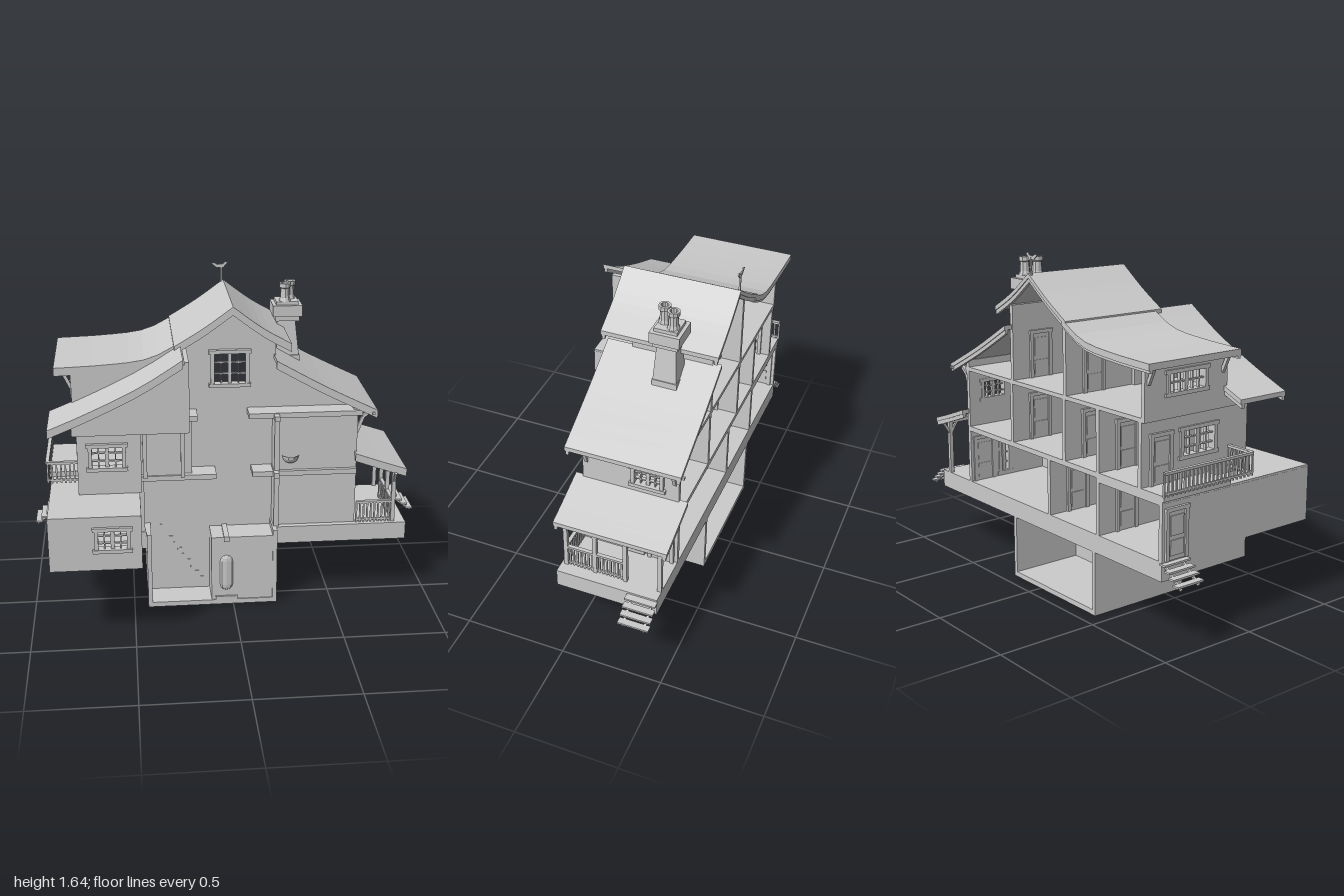
import * as THREE from 'three';

const mat = new THREE.MeshStandardMaterial({ color: 0xcccccc, flatShading: true, side: THREE.DoubleSide });
let root;

function add(name, geo, x = 0, y = 0, z = 0, parent = root) {
  const m = new THREE.Mesh(geo, mat);
  m.name = name;
  m.position.set(x, y, z);
  parent.add(m);
  return m;
}
// box given by its limits
const block = (name, x0, x1, y0, y1, z0, z1, parent) =>
  add(name, new THREE.BoxGeometry(x1 - x0, y1 - y0, z1 - z0), (x0 + x1) / 2, (y0 + y1) / 2, (z0 + z1) / 2, parent);

// straight bar between two points
function bar(name, a, b, w, h = w) {
  const p = new THREE.Vector3(...a), q = new THREE.Vector3(...b);
  const m = add(name, new THREE.BoxGeometry(w, h, p.distanceTo(q)));
  m.position.copy(p).lerp(q, 0.5);
  m.lookAt(q);
}
const rect = (x0, x1, y0, y1) => [[x0, y0], [x1, y0], [x1, y1], [x0, y1]];
const toPts = (a) => a.map(([x, y]) => new THREE.Vector2(x, y));

// flat wall with openings
function panel(pts, holes, depth) {
  const s = new THREE.Shape(toPts(pts));
  holes.forEach((h) => s.holes.push(new THREE.Path(toPts(rect(...h)))));
  return new THREE.ExtrudeGeometry(s, { depth, bevelEnabled: false });
}
const T = 0.022;
const frontWall = (name, z, pts, holes = []) => add(name, panel(pts, holes, T), 0, 0, z - T);
// side walls are drawn in (z, y)
function sideWall(name, x, pts, holes = []) {
  const m = add(name, panel(pts, holes, T), x + T / 2, 0, 0);
  m.rotation.y = -Math.PI / 2;
}

// frame and glazing bars, built in the xy plane
function windowFrame(name, w, h, cols, rows, pos, sideways = false) {
  const g = new THREE.Group();
  g.name = name;
  const f = 0.018;
  for (const s of [-1, 1]) {
    block('jamb', s * w / 2 - f / 2, s * w / 2 + f / 2, -h / 2, h / 2, -0.02, 0.02, g);
    block('sill', -w / 2 - f, w / 2 + f, s * h / 2 - f / 2, s * h / 2 + f / 2, -0.02, 0.024, g);
  }
  for (let i = 1; i < cols; i++) {
    const x = -w / 2 + w * i / cols, b = i * 2 === cols ? 0.009 : 0.003;
    block('mullion', x - b, x + b, -h / 2, h / 2, -0.008, 0.008, g);
  }
  for (let i = 1; i < rows; i++) {
    const y = -h / 2 + h * i / rows;
    block('glazingBar', -w / 2, w / 2, y - 0.003, y + 0.003, -0.008, 0.008, g);
  }
  g.position.set(...pos);
  if (sideways) g.rotation.y = Math.PI / 2;
  root.add(g);
}

// panelled door standing on a side wall
function door(x, y, z, w = 0.11, h = 0.22) {
  const g = new THREE.Group();
  g.name = 'door';
  for (const s of [-1, 1]) block('doorPost', -0.022, 0.022, 0, h, s * w / 2 - 0.009, s * w / 2 + 0.009, g);
  block('doorHead', -0.024, 0.024, h, h + 0.018, -w / 2 - 0.012, w / 2 + 0.012, g);
  block('doorLeaf', -0.015, 0.015, 0, h, -w / 2, w / 2, g);
  for (const [a, b] of [[0.02, 0.09], [0.11, 0.2]]) block('doorPanel', -0.019, 0.019, a, b, -w * 0.34, w * 0.34, g);
  g.position.set(x, y, z);
  root.add(g);
}

// curved roof sheet with trim boards along both ends
function roof(name, pts, z0, z1, t = 0.022) {
  const curve = new THREE.SplineCurve(toPts(pts)).getPoints(8).map((p) => [p.x, p.y]);
  const under = curve.map(([x, y]) => [x, y - t]).reverse();
  add(name, panel([...curve, ...under], [], z1 - z0), 0, 0, z0);
  const low = [...curve.map(([x, y]) => [x, y - 0.006]), ...curve.map(([x, y]) => [x, y - 0.042]).reverse()];
  for (const z of [z0 + 0.005, z1 - 0.021]) add('bargeBoard', panel(low, [], 0.016), 0, 0, z);
}

function railing(a, b, y0, h, n) {
  const at = (k, y) => [a[0] + (b[0] - a[0]) * k, y, a[1] + (b[1] - a[1]) * k];
  bar('handRail', at(0, y0 + h), at(1, y0 + h), 0.018, 0.012);
  bar('footRail', at(0, y0 + 0.015), at(1, y0 + 0.015), 0.01);
  for (let i = 0; i <= n; i++) bar('baluster', at(i / n, y0), at(i / n, y0 + h), 0.008);
}

function flight(name, x0, x1, y0, y1, z0, z1, n) {
  for (let i = 0; i < n; i++) {
    const xa = x0 + (x1 - x0) * i / n, xb = x0 + (x1 - x0) * (i + 1) / n, y = y0 + (y1 - y0) * (i + 1) / n;
    block(name, Math.min(xa, xb), Math.max(xa, xb), y - (y1 - y0) / n, y, z0, z1);
  }
}

export function createModel() {
  root = new THREE.Group();
  root.name = 'cutawayHouse';
  const B = -0.43; // open back
  const F = -0.04; // recessed central front wall

  // basement
  block('basementFloor', -0.43, 0.22, 0, 0.025, B, 0.11);
  sideWall('basementWall', -0.42, rect(B, 0.11, 0, 0.4));
  sideWall('basementWall', 0.21, rect(B, 0.11, 0, 0.4));
  frontWall('basementFront', F, rect(-0.42, -0.1, 0.02, 0.33));
  block('cellarRoom', -0.11, 0.2, 0.02, 0.37, F - T, 0.105);
  add('cellarHatch', new THREE.CapsuleGeometry(0.032, 0.13, 3, 8).scale(1, 1, 0.4), -0.035, 0.175, 0.105);
  block('cellarStep', -0.09, 0.02, 0.02, 0.045, 0.1, 0.115);
  flight('cellarStair', -0.12, -0.36, 0.02, 0.39, -0.15, F + 0.003, 11);
  for (const x of [-0.36, -0.24]) bar('stairPost', [x, 0.02, -0.16], [x, 0.31, -0.16], 0.014);

  // floors, stepped back in the middle
  block('groundSlab', -0.42, 0.21, 0.31, 0.4, B, F);
  block('leftSlab', -0.89, -0.42, 0.31, 0.4, B, 0.07);
  block('rightSlab', 0.21, 0.88, 0.31, 0.4, B, 0.07);
  block('garageFloor', -0.89, -0.46, 0.4, 0.415, 0.05, 0.465);
  block('middleFloor', -0.9, 0.62, 0.67, 0.695, B, F);
  block('garageRoof', -0.89, -0.46, 0.65, 0.67, B, 0.465);
  block('bayFloor', -0.75, -0.45, 0.67, 0.69, F, 0.2);
  block('upperFloor', -0.77, 0.63, 0.985, 1.005, B, F);
  block('wingFloor', -0.77, -0.22, 0.985, 1.005, F, 0.25);
  block('rightCeiling', 0.21, 0.62, 0.965, 0.985, F, 0.04);

  // front walls
  frontWall('gableWall', F, [[-0.46, 0.4], [0.22, 0.4], [0.22, 1.38], [0, 1.52], [-0.21, 1.39], [-0.21, 0.68], [-0.46, 0.68]],
    [[-0.085, 0.075, 1.13, 1.29]]);
  windowFrame('gableWindow', 0.17, 0.17, 4, 3, [-0.005, 1.21, F]);
  frontWall('rightFrontWall', 0.04, rect(0.21, 0.62, 0.4, 0.985));
  frontWall('rightAtticWall', F, [[0.21, 0.98], [0.62, 0.98], [0.62, 1.03], [0.21, 1.25]]);
  frontWall('leftFrontWall', 0.04, rect(-0.46, -0.2, 0.68, 1));
  frontWall('bayWall', 0.2, rect(-0.75, -0.46, 0.67, 0.99), [[-0.685, -0.535, 0.805, 0.915]]);
  windowFrame('bayWindow', 0.16, 0.12, 4, 3, [-0.61, 0.86, 0.195]);
  frontWall('garageWall', 0.47, rect(-0.89, -0.46, 0.4, 0.67), [[-0.665, -0.525, 0.505, 0.605]]);
  windowFrame('garageWindow', 0.15, 0.11, 4, 3, [-0.595, 0.555, 0.462]);
  frontWall('wingWall', 0.25, [[-0.77, 0.99], [-0.22, 0.99], [-0.22, 1.33], [-0.5, 1.18], [-0.77, 1.05]]);
  block('wingVent', -0.465, -0.435, 1.2, 1.225, 0.24, 0.265);
  frontWall('dormerCheek', 0.05, [[-0.77, 1.05], [-0.22, 1.31], [-0.4, 1.28], [-0.77, 1.25]]);

  // alcove between the bay and the central wall
  block('alcove', -0.425, -0.25, 0.7, 0.955, 0.02, 0.065);
  for (const x of [-0.43, -0.245]) block('alcovePost', x - 0.01, x + 0.01, 0.69, 0.96, 0.03, 0.08);
  block('alcoveHead', -0.44, -0.235, 0.95, 0.97, 0.03, 0.08);

  // outer side walls
  sideWall('garageSide', -0.88, rect(B, 0.47, 0.4, 0.66));
  sideWall('garageInnerSide', -0.47, rect(F, 0.47, 0.4, 0.66));
  sideWall('baySide', -0.74, rect(B, 0.2, 0.68, 0.99), [[-0.2, 0, 0.79, 0.92]]);
  windowFrame('baySideWindow', 0.2, 0.13, 4, 3, [-0.74, 0.855, -0.1], true);
  sideWall('bayInnerSide', -0.46, rect(F, 0.2, 0.68, 0.99));
  sideWall('alcoveSide', -0.21, rect(F, 0.04, 0.68, 0.99));
  sideWall('wingSide', -0.76, rect(0.03, 0.25, 0.99, 1.06));
  sideWall('wingInnerSide', -0.23, rect(F, 0.25, 0.99, 1.33));
  sideWall('dormerSide', -0.76, rect(B, 0.05, 0.99, 1.25), [[-0.3, -0.08, 1.09, 1.19]]);
  windowFrame('dormerWindow', 0.22, 0.1, 6, 2, [-0.76, 1.14, -0.19], true);
  sideWall('rightInnerSide', 0.22, rect(F, 0.04, 0.4, 0.985));
  sideWall('rightSideWall', 0.61, rect(B, 0.04, 0.4, 1.04), [[-0.25, -0.195, 0.42, 0.62], [-0.35, -0.21, 0.83, 0.92]]);
  windowFrame('upperRightWindow', 0.14, 0.1, 4, 3, [0.615, 0.875, -0.28], true);
  windowFrame('porchWindow', 0.06, 0.21, 2, 4, [0.615, 0.52, -0.222], true);
  door(0.615, 0.4, -0.35);
  door(-0.88, 0.4, -0.35);
  door(-0.74, 0.69, -0.32);

  // room partitions with doors
  for (const [x, y0, y1] of [[-0.45, 0.4, 0.67], [-0.08, 0.4, 0.67], [-0.45, 0.69, 0.99],
    [-0.2, 0.69, 0.99], [0.22, 0.69, 0.99], [-0.21, 1, 1.38], [0.21, 1, 1.37]]) {
    sideWall('partition', x, rect(B, F, y0, y1));
    door(x, y0, -0.27);
  }
  flight('innerStair', -0.12, -0.4, 0.4, 0.67, -0.15, F - T, 9);
  flight('innerStair', -0.15, 0.15, 0.69, 0.99, -0.15, F - T, 9);

  // timber beams on the front
  for (const [x0, x1, y, z] of [[-0.47, -0.08, 0.685, 0.07], [0.1, 0.62, 0.685, 0.06], [-0.46, -0.17, 0.99, 0.07], [0.08, 0.64, 0.99, 0.06]])
    block('beam', x0, x1, y - 0.013, y + 0.013, F, z);
  block('frontPost', 0.207, 0.233, 0.4, 1, F, 0.06);
  block('frontPost', -0.463, -0.437, 0.4, 0.68, F, 0.06);
  for (const [x, y, z] of [[-0.035, 0.365, 0.12], [0.215, 0.69, 0.1], [0.215, 0.985, 0.1], [-0.23, 0.985, 0.12]])
    block('beamEnd', x - 0.013, x + 0.013, y - 0.013, y + 0.013, F, z);
  add('basin', new THREE.SphereGeometry(0.045, 10, 5, 0, Math.PI * 2, Math.PI / 2, Math.PI / 2), 0.29, 0.775, 0.03);

  // roofs
  roof('mainRoofRight', [[0, 1.545], [0.14, 1.44], [0.28, 1.36]], -0.475, 0.09);
  roof('mainRoofLeft', [[-0.28, 1.36], [-0.14, 1.445], [0, 1.545]], -0.475, 0.09);
  roof('lowerRoofRight', [[0.21, 1.275], [0.45, 1.14], [0.71, 1.01]], -0.47, 0.085);
  roof('wingRoof', [[-0.88, 1.04], [-0.7, 1.115], [-0.45, 1.235], [-0.25, 1.36]], 0.03, 0.31);
  roof('dormerRoof', [[-0.85, 1.26], [-0.6, 1.27], [-0.4, 1.295], [-0.25, 1.37]], -0.475, 0.055, 0.03);
  roof('porchRoof', [[0.61, 0.785], [0.75, 0.735], [0.87, 0.695]], -0.47, 0.08);
  bar('eaveBeam', [0.69, 0.995, -0.48], [0.69, 0.995, 0.09], 0.014);
  for (const z of [-0.41, 0.02]) {
    bar('eaveBrace', [0.62, 0.88, z], [0.65, 0.96, z], 0.016);
    bar('eaveBrace', [0.65, 0.96, z], [0.7, 1.0, z], 0.016);
    bar('dormerBrace', [-0.77, 1.15, z], [-0.81, 1.235, z], 0.016);
  }

  // porch on the right
  for (const z of [0.045, -0.1, -0.25, -0.42]) {
    bar('porchPost', [0.815, 0.4, z], [0.815, 0.7, z], 0.02);
    for (const s of [-1, 1]) bar('porchBrace', [0.815, 0.61, z], [0.815, 0.675, z + s * 0.04], 0.012);
  }
  bar('porchBeam', [0.815, 0.68, -0.43], [0.815, 0.68, 0.06], 0.02);
  railing([0.63, 0.045], [0.815, 0.045], 0.4, 0.11, 10);
  railing([0.815, 0.045], [0.815, -0.25], 0.4, 0.11, 16);

  // balcony on the left
  railing([-0.9, B], [-0.9, 0.09], 0.69, 0.105, 22);
  railing([-0.9, 0.09], [-0.75, 0.09], 0.69, 0.105, 7);

  // outdoor steps at both ends
  for (const s of [-1, 1]) {
    for (let i = 0; i < 4; i++) {
      const x = s * (0.9 + i * 0.028);
      block('outdoorStep', x - 0.017, x + 0.017, 0.385 - i * 0.024, 0.394 - i * 0.024, -0.435, -0.285);
    }
    for (const z of [-0.41, -0.31]) bar('stepStringer', [s * 0.88, 0.385, z], [s * 0.995, 0.3, z], 0.01);
  }

  // chimney
  const stack = add('chimneyStack', new THREE.CylinderGeometry(0.062, 0.083, 0.24, 4, 1).rotateY(Math.PI / 4), 0.295, 1.3, -0.25);
  stack.rotation.z = 0.05;
  block('chimneyFoot', 0.24, 0.36, 1.14, 1.22, -0.31, -0.19);
  block('chimneyCollar', 0.235, 0.355, 1.395, 1.42, -0.31, -0.19);
  block('chimneyCap', 0.222, 0.368, 1.42, 1.475, -0.322, -0.178);
  block('chimneyTop', 0.24, 0.35, 1.475, 1.492, -0.305, -0.195);
  const pot = toPts([[0.03, 0], [0.024, 0.02], [0.022, 0.065], [0.029, 0.07], [0.029, 0.09], [0.018, 0.09], [0.018, 0.03]]);
  for (const [x, z] of [[0.285, -0.222], [0.315, -0.275]]) add('chimneyPot', new THREE.LatheGeometry(pot, 10), x, 1.49, z);

  // weather vane with a small bird
  bar('vanePole', [-0.01, 1.52, -0.465], [-0.01, 1.62, -0.465], 0.008);
  const bird = [[-0.06, 1.63], [-0.045, 1.635], [-0.03, 1.625], [0, 1.628], [0.012, 1.64], [0.025, 1.632], [0.012, 1.622], [0, 1.607], [-0.035, 1.61]];
  add('vaneBird', panel(bird, [], 0.006), 0, 0, -0.468);
  return root;
}
